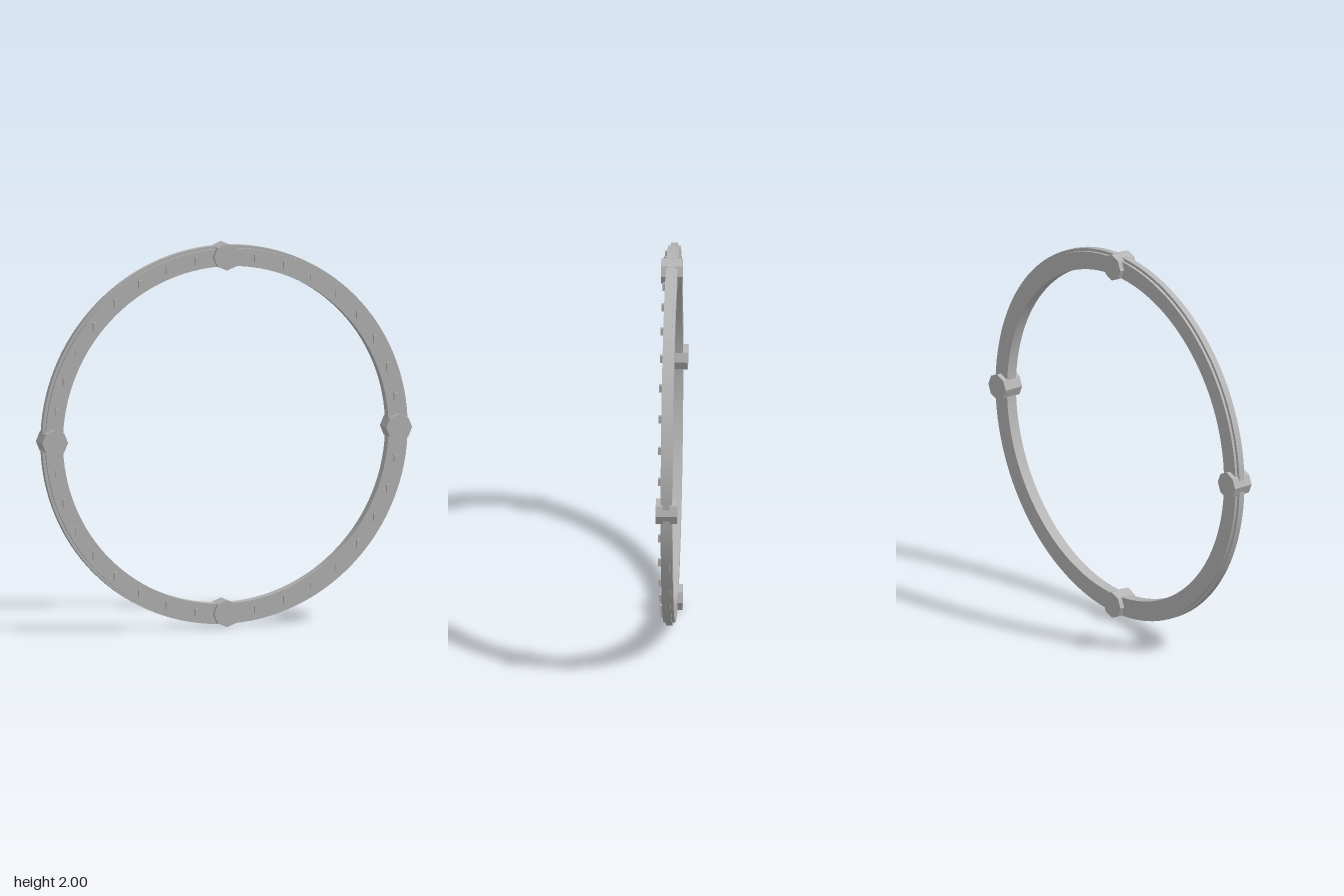
import * as THREE from 'three';
import { toCreasedNormals } from 'three/addons/utils/BufferGeometryUtils.js';

export function createModel() {
  const model = new THREE.Group();
  model.name = 'ringGate';
  const grey = new THREE.MeshStandardMaterial({ color: 0xb6b6b6 });
  grey.name = 'grey metal';

  const midRadius = 0.93;
  const add = (geometry, name, x = 0, y = 0, z = 0) => {
    const mesh = new THREE.Mesh(geometry, grey);
    mesh.name = name;
    mesh.position.set(x, y + 1, z);
    model.add(mesh);
  };

  // Ring body with a narrow raised rim; profile is (radius, depth)
  const profile = [
    [0.88, -0.03], [0.973, -0.03], [0.973, -0.016], [0.988, -0.016],
    [0.988, 0.016], [0.973, 0.016], [0.973, 0.03], [0.88, 0.03], [0.88, -0.03],
  ].map(([r, d]) => new THREE.Vector2(r, d));
  const ring = new THREE.LatheGeometry(profile, 128).rotateX(Math.PI / 2);
  add(toCreasedNormals(ring, 0.5), 'ring');

  // Octagonal nodes at the quarters, upright marker blocks between them
  const node = toCreasedNormals(
    new THREE.CylinderGeometry(0.07, 0.07, 0.11, 8).rotateX(Math.PI / 2), 0.5);
  const marker = new THREE.BoxGeometry(0.016, 0.04, 0.02);
  for (let i = 0; i < 36; i++) {
    const angle = (i * Math.PI) / 18;
    const x = midRadius * Math.cos(angle);
    const y = midRadius * Math.sin(angle);
    if (i % 9 === 0) add(node, 'node', x, y);
    else add(marker, 'marker', x, y, 0.035);
  }
  return model;
}
